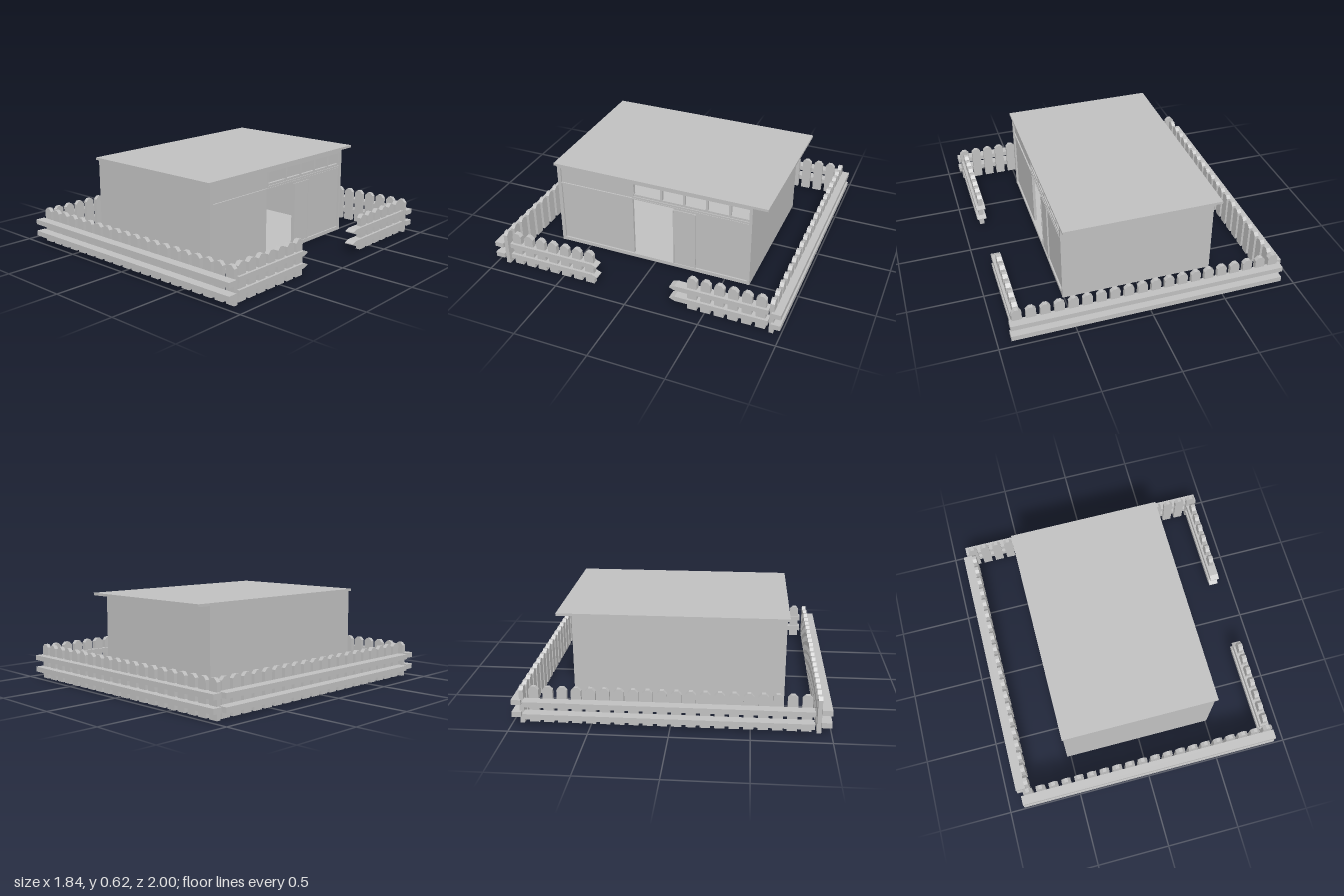
import * as THREE from 'three';

const paleGrey = new THREE.MeshStandardMaterial({ color: 0xc0c0c0 });
paleGrey.name = 'paleGrey';

function add(parent, name, geometry) {
  const mesh = new THREE.Mesh(geometry, paleGrey);
  mesh.name = name;
  parent.add(mesh);
  return mesh;
}

// Box given by its lower and upper limits on each axis
function block(parent, name, [x0, x1], [y0, y1], [z0, z1]) {
  const g = new THREE.BoxGeometry(x1 - x0, y1 - y0, z1 - z0);
  g.translate((x0 + x1) / 2, (y0 + y1) / 2, (z0 + z1) / 2);
  return add(parent, name, g);
}

const polygon = (pts) => new THREE.Shape(pts.map(([a, b]) => new THREE.Vector2(a, b)));
const rectangle = (a0, a1, b0, b1) => polygon([[a0, b0], [a1, b0], [a1, b1], [a0, b1]]);

// Extrudes a (z, y) outline along x, between x0 and x1
function sidePlate(shape, x0, x1) {
  const g = new THREE.ExtrudeGeometry(shape, { depth: x1 - x0, bevelEnabled: false });
  g.rotateY(-Math.PI / 2);
  g.translate(x1, 0, 0);
  return g;
}

const RAILS = [[0.048, 0.083], [0.131, 0.165]];
const STEP = 0.09;
const COUNT = 20;

// Picket board with a clipped point
const picketShape = polygon([[-0.032, 0], [0.032, 0], [0.032, 0.222],
  [0.012, 0.243], [-0.012, 0.243], [-0.032, 0.222]]);

function buildHouse() {
  const house = new THREE.Group();
  house.name = 'house';

  // Floor, plain walls and roof slab
  block(house, 'floor', [-0.525, 0.508], [0, 0.025], [-0.668, 0.718]);
  block(house, 'leftWall', [-0.527, -0.507], [0, 0.605], [-0.67, 0.72]);
  block(house, 'frontWall', [-0.507, 0.51], [0, 0.605], [0.695, 0.72]);
  block(house, 'backWall', [-0.507, 0.51], [0, 0.605], [-0.67, -0.65]);
  block(house, 'roof', [-0.535, 0.52], [0.603, 0.62], [-0.773, 0.738]);

  // Entrance wall with a doorway and a row of open windows
  const wall = rectangle(-0.65, 0.695, 0.02, 0.603);
  wall.holes.push(rectangle(-0.13, 0.165, 0.025, 0.465));
  const windows = [[-0.035, 0.153], [-0.196, -0.05], [-0.353, -0.21],
    [-0.51, -0.368], [-0.65 + 0.004, -0.525]];
  for (const [z0, z1] of windows) wall.holes.push(rectangle(z0, z1, 0.5, 0.575));
  add(house, 'entranceWall', sidePlate(wall, 0.478, 0.497));

  // Frame around the entrance wall
  block(house, 'topBeam', [0.49, 0.51], [0.585, 0.604], [-0.65, 0.695]);
  block(house, 'middleBeam', [0.49, 0.506], [0.465, 0.472], [-0.65, 0.695]);
  block(house, 'windowPost', [0.49, 0.503], [0.472, 0.585], [0.155, 0.165]);
  block(house, 'windowSill', [0.49, 0.503], [0.472, 0.485], [-0.65, 0.155]);
  block(house, 'slidingDoor', [0.49, 0.503], [0.025, 0.45], [-0.283, -0.135]);
  for (const z of [-0.135, -0.288]) {
    block(house, 'doorEdge', [0.485, 0.507], [0.025, 0.45], [z, z + 0.008]);
  }
  return house;
}

// Row of pickets; place(mesh, position) puts each one on its side
function pickets(fence, depth, from, to, place) {
  const g = new THREE.ExtrudeGeometry(picketShape, { depth, bevelEnabled: false });
  g.translate(0, 0, -depth / 2);
  for (let i = from; i < to; i++) place(add(fence, 'picket', g), i * STEP);
}

function buildFence() {
  const fence = new THREE.Group();
  fence.name = 'fence';

  // Closed sides: front, back and left
  for (const y of RAILS) {
    block(fence, 'frontRail', [-0.897, 0.917], y, [0.936, 1]);
    block(fence, 'backRail', [-0.897, 0.917], y, [-1, -0.938]);
    block(fence, 'leftRail', [-0.923, -0.857], y, [-0.924, 0.892]);
  }
  pickets(fence, 0.028, 0, COUNT, (m, d) => m.position.set(-0.843 + d, 0, 0.923));
  pickets(fence, 0.028, 0, COUNT, (m, d) => m.position.set(-0.843 + d, 0, -0.938));
  const sideways = (x) => (m, d) => {
    m.rotation.y = Math.PI / 2;
    m.position.set(x, 0, -0.863 + d);
  };
  pickets(fence, 0.028, 0, COUNT, sideways(-0.843));

  // Entrance side: two short runs with pointed rail ends beside the gap
  for (const [end, tip] of [[-0.914, -0.268], [0.892, 0.245]]) {
    const neck = tip + Math.sign(end) * 0.035;
    for (const [y0, y1] of RAILS) {
      const mid = (y0 + y1) / 2;
      const rail = polygon([[end, y0], [neck, y0], [tip, mid - 0.003],
        [tip, mid + 0.003], [neck, y1], [end, y1]]);
      add(fence, 'entranceRail', sidePlate(rail, 0.834, 0.898));
    }
  }
  pickets(fence, 0.032, 0, 6, sideways(0.865));
  pickets(fence, 0.032, 13, COUNT, sideways(0.865));
  return fence;
}

export function createModel() {
  const model = new THREE.Group();
  model.name = 'fencedHouse';
  model.add(buildHouse(), buildFence());
  return model;
}
